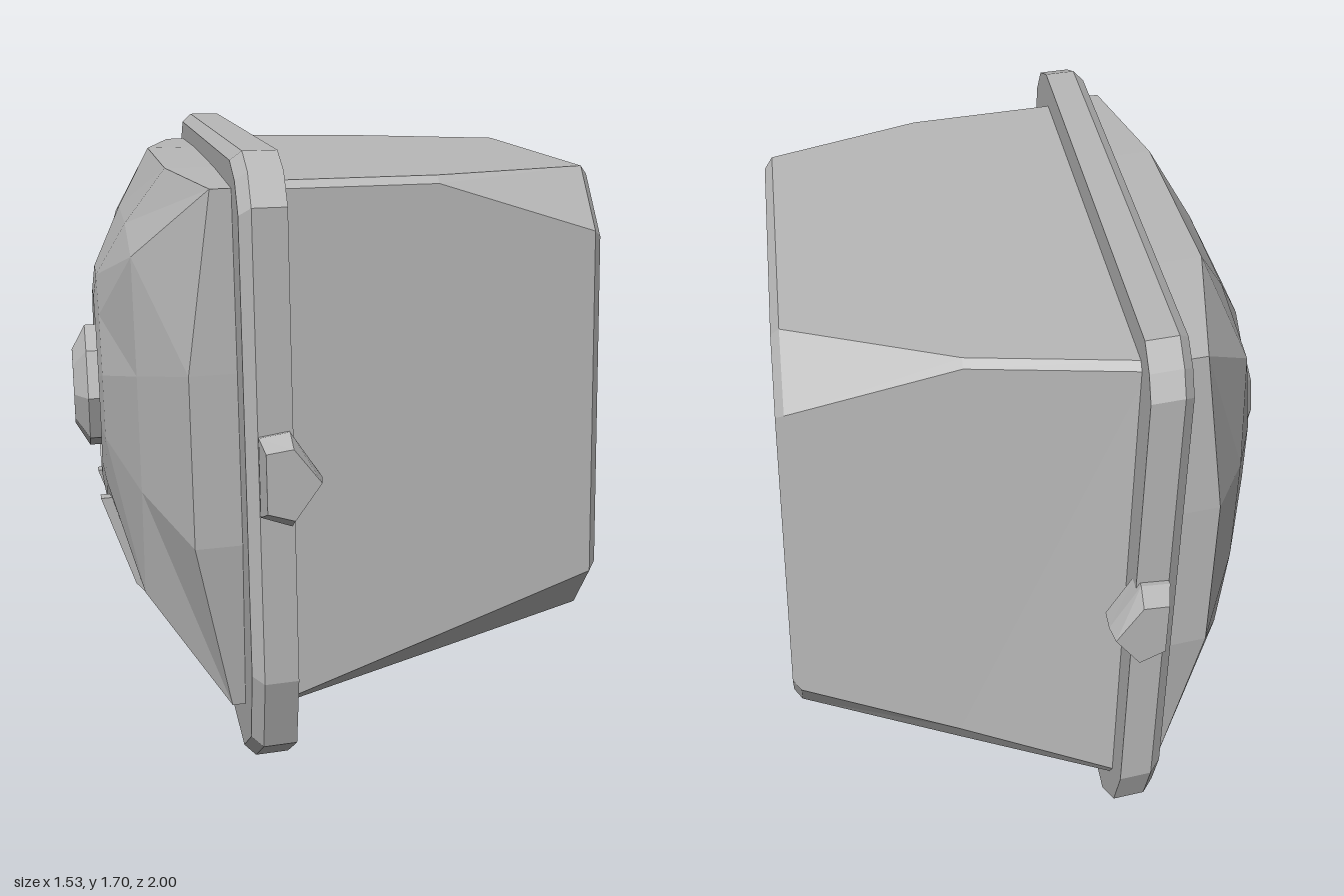
import * as THREE from 'three';

const grey = new THREE.MeshStandardMaterial({ color: 0xb8b8b8 });
grey.name = 'plain grey';

// The lamp sits askew: everything is laid out along w (lens to back), y and z, then slanted.
const place = ([w, y, z]) => new THREE.Vector3(w - 0.162 * z - 0.02 * (y - 0.9), y, z);

// Closed, faceted solid through a list of cross-section loops.
function loft(name, loops) {
  const rings = loops.map(loop => loop.map(place));
  const n = rings[0].length;
  let tris = [];
  for (let r = 0; r + 1 < rings.length; r++) {
    for (let i = 0; i < n; i++) {
      const j = (i + 1) % n, a = rings[r], b = rings[r + 1];
      tris.push([a[i], a[j], b[j]], [a[i], b[j], b[i]]);
    }
  }
  for (const [ring, flip] of [[rings[0], true], [rings[rings.length - 1], false]]) {
    const mid = ring.reduce((s, p) => s.add(p), new THREE.Vector3()).divideScalar(n);
    for (let i = 0; i < n; i++) {
      const p = ring[i], q = ring[(i + 1) % n];
      tris.push(flip ? [mid, q, p] : [mid, p, q]);
    }
  }
  // Turn the solid right side out.
  const volume = tris.reduce((s, [a, b, c]) => s + a.dot(b.clone().cross(c)), 0);
  if (volume < 0) tris = tris.map(([a, b, c]) => [a, c, b]);
  const geometry = new THREE.BufferGeometry().setFromPoints(tris.flat());
  geometry.computeVertexNormals();
  const mesh = new THREE.Mesh(geometry, grey);
  mesh.name = name;
  return mesh;
}

// Cross-section from [z, y] pairs at one depth, optionally shrunk about a centre.
const section = (w, pts, k = 1, cz = 0, cy = 0.9) =>
  pts.map(([z, y]) => [w, cy + (y - cy) * k, cz + (z - cz) * k]);

const ringLoop = (w, radius, cz, cy, sides = 12) => Array.from({ length: sides }, (_, i) => {
  const a = Math.PI / 4 + (i / sides) * Math.PI * 2;
  return [w, cy + Math.sin(a) * radius, cz + Math.cos(a) * radius];
});

function makeHousing() {
  const base = [[0.72, 1.6], [0.7, 1.62], [-0.8, 1.62], [-0.82, 1.6],
    [-0.83, 0.26], [-0.8, 0.22], [0.65, 0.2], [0.72, 0.24]];
  const middle = [[0.72, 1.6], [0.7, 1.62], [-0.66, 1.62], [-0.68, 1.6],
    [-0.68, 0.4], [-0.6, 0.295], [0.615, 0.285], [0.72, 0.375]];
  const end = [[0.72, 1.46], [0.58, 1.62], [-0.4, 1.62], [-0.535, 1.45],
    [-0.535, 0.53], [-0.4, 0.37], [0.58, 0.37], [0.72, 0.51]];
  return loft('housing', [section(-0.25, base), section(0.2, middle),
    section(0.645, end), section(0.668, end, 0.96, 0.09, 0.99)]);
}

function makeFlange() {
  const outline = [[0.93, 1.58], [0.87, 1.66], [0.76, 1.7], [-0.82, 1.69], [-0.89, 1.64], [-0.93, 1.58],
    [-0.93, 0.33], [-0.87, 0.19], [-0.72, 0.08], [0.66, 0.065], [0.86, 0.18], [0.93, 0.38]];
  return loft('flange', [section(-0.235, outline), section(-0.325, outline), section(-0.355, outline, 0.97)]);
}

function makeLens() {
  // Rim: four low corners with two raised points along each side.
  const rim = [
    [-0.41, 1.61, 0.76], [-0.49, 1.62, 0.3], [-0.5, 1.62, -0.35], [-0.41, 1.61, -0.81],
    [-0.48, 1.15, -0.83], [-0.48, 0.7, -0.83], [-0.39, 0.23, -0.77], [-0.42, 0.2, -0.35],
    [-0.42, 0.2, 0.3], [-0.39, 0.24, 0.71], [-0.48, 0.7, 0.77], [-0.48, 1.15, 0.77]];
  const cz = -0.06, cy = 0.97;
  const crown = ringLoop(-0.685, 0.34, cz, cy);
  const shoulder = rim.map(([, y, z], i) => [-0.6, (y + crown[i][1]) / 2, (z + crown[i][2]) / 2]);
  return loft('lens', [rim.map(([, y, z]) => [-0.34, y, z]), rim, shoulder, crown,
    ringLoop(-0.695, 0.27, cz, cy), ringLoop(-0.645, 0.23, cz, cy)]);
}

// Faceted bulb cap standing in the dish of the lens.
const makeCap = () => loft('centreCap', [ringLoop(-0.63, 0.18, -0.06, 0.96, 8),
  ringLoop(-0.725, 0.18, -0.06, 0.96, 8), ringLoop(-0.765, 0.11, -0.06, 0.96, 8)]);

// Rails running from the dish down to the lower rim.
function makeRail(side) {
  const path = [[-0.43, 0.215, 0.17], [-0.615, 0.42, 0.16], [-0.705, 0.68, 0.15]];
  return loft('lensRail', path.map(([w, y, z]) => {
    const c = side * z;
    return [[w, y, c - 0.02], [w, y, c + 0.02], [w + 0.06, y, c + 0.02], [w + 0.06, y, c - 0.02]];
  }));
}

// Hooked clip: five-sided block tapering outwards, oriented by a mapping.
function makeClip(map) {
  const profile = [[-0.09, 0.11], [-0.01, 0.12], [0.07, 0], [-0.01, -0.12], [-0.09, -0.09]];
  const levels = [[0, 0.95], [0.06, 1], [0.115, 0.75]];
  return loft('clip', levels.map(([out, k]) =>
    profile.map(([w, s]) => map(-0.235 + w * (0.5 + k / 2), s * k, out))));
}

export function createModel() {
  const model = new THREE.Group();
  model.name = 'lamp';
  model.add(makeHousing(), makeFlange(), makeLens(), makeCap());
  for (const side of [1, -1]) {
    model.add(makeRail(side));
    model.add(makeClip((w, s, out) => [w, 0.915 + s, side * (0.885 + out)]));
  }
  model.add(makeClip((w, s, out) => [w, 0.115 - out, s]));
  return model;
}
